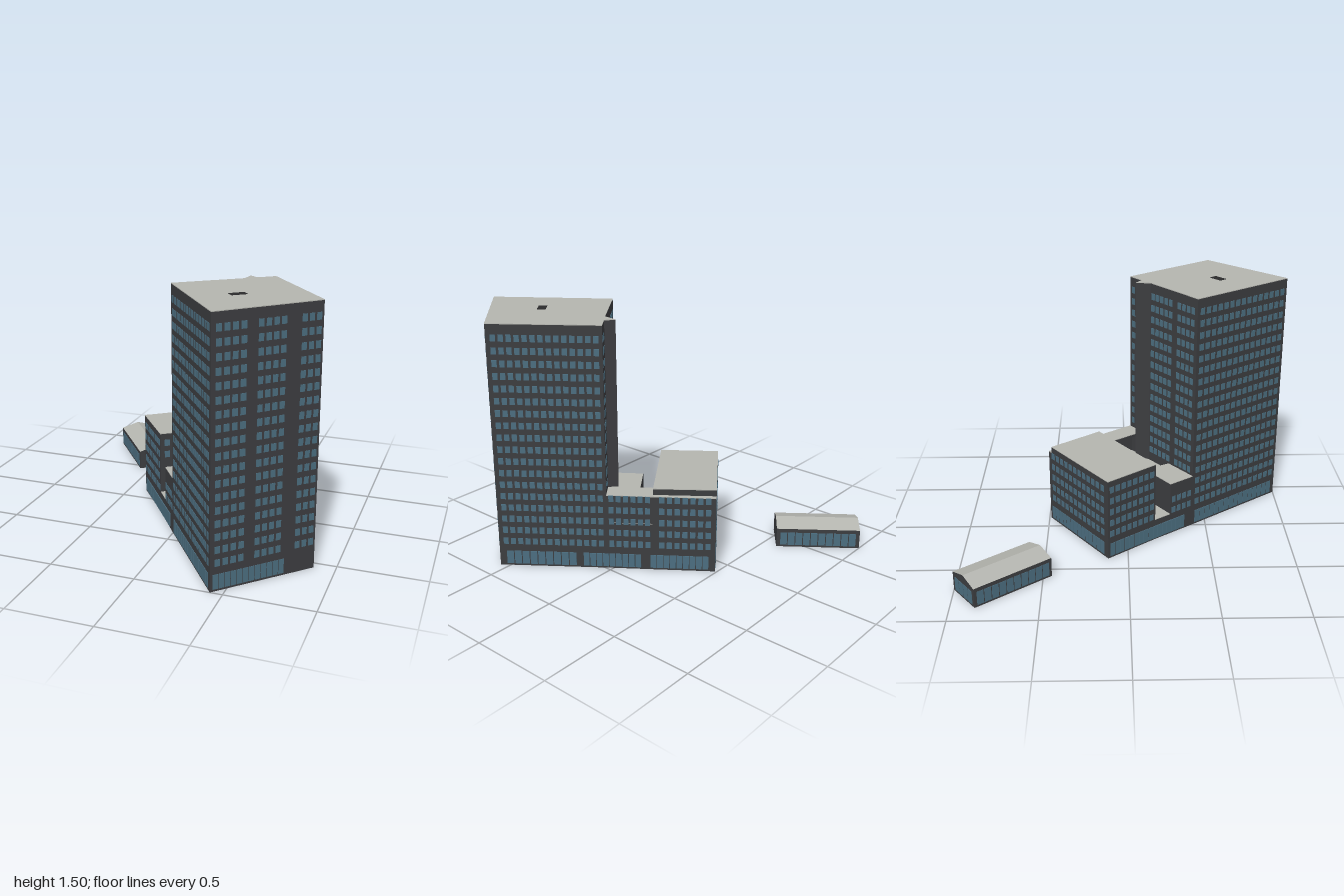
import * as THREE from 'three';
import { mergeGeometries } from 'three/addons/utils/BufferGeometryUtils.js';

const paint = (color) => new THREE.MeshStandardMaterial({ color, side: THREE.DoubleSide, flatShading: true });

// Plan points are [x, z]
const A = [-0.39, -0.12], B = [0.11, -0.49], C = [0.88, 0.55], D = [0.43, 1.0];
const W1 = [-0.17, 0.17], E1 = [0.33, -0.19]; // low block, courtyard side
const W2 = [0, 0.41], E2 = [0.49, 0.03];      // tower, courtyard side
const lerp = (p, q, t) => [p[0] + (q[0] - p[0]) * t, p[1] + (q[1] - p[1]) * t];

// Upright prism over a plan polygon
function prism(points, y0, y1) {
  const shape = new THREE.Shape(points.map(([x, z]) => new THREE.Vector2(x, -z)));
  const geo = new THREE.ExtrudeGeometry(shape, { depth: y1 - y0, bevelEnabled: false });
  return geo.rotateX(-Math.PI / 2).translate(0, y0, 0);
}

// Grid of window panes on the wall from p to q, between fractions t0 and t1
function panes(list, p, q, t0, t1, count, ys, height, fill = 0.68) {
  const length = Math.hypot(q[0] - p[0], q[1] - p[1]);
  const step = (t1 - t0) / count;
  const angle = -Math.atan2(q[1] - p[1], q[0] - p[0]);
  for (let i = 0; i < count; i++) {
    const [x, z] = lerp(p, q, t0 + step * (i + 0.5));
    for (const y of ys) {
      list.push(new THREE.BoxGeometry(step * length * fill, height, 0.005).rotateY(angle).translate(x, y, z));
    }
  }
}

export function createModel() {
  const model = new THREE.Group();
  const wall = paint(0x3c3d40), roof = paint(0xb4b5af), glass = paint(0x4c6e80), dark = paint(0x2a2a2c);

  const add = (name, geometry, material, parent = model) => {
    const mesh = new THREE.Mesh(geometry, material);
    mesh.name = name;
    parent.add(mesh);
  };
  // Walls with a thin pale roof slab on top
  const block = (name, points, height, y0 = 0) => {
    const group = new THREE.Group();
    group.name = name;
    add(name + 'Walls', prism(points, y0, height - 0.004), wall, group);
    add(name + 'Roof', prism(points, height - 0.004, height), roof, group);
    model.add(group);
  };

  // Tower with a shaft bump on its back
  block('tower', [D, C, E2, [0.40, 0.10], [0.35, 0.06], [0.34, 0.15], W2], 1.5);
  add('towerRoofVent', new THREE.BoxGeometry(0.09, 0.004, 0.05).rotateY(0.7).translate(0.43, 1.5, 0.57), dark);

  // Low rear block: raised roof with a lower ledge along the left side
  const ledgeB = lerp(B, A, 0.05), ledgeE = lerp(E1, W1, 0.04);
  block('lowBlock', [A, ledgeB, ledgeE, W1], 0.52);
  block('lowBlockLedge', [ledgeB, B, E1, ledgeE], 0.48);

  // Link between the two, around a floorless courtyard
  const innerLow = [0.05, 0.01], innerHigh = [0.18, 0.27];
  const stepOut = lerp(W1, W2, 0.4), stepIn = lerp(innerLow, innerHigh, 0.4);
  block('linkLow', [W1, innerLow, stepIn, stepOut], 0.14);
  block('linkHigh', [stepOut, stepIn, innerHigh, W2], 0.35);
  block('courtyardWall', [lerp(E1, W1, 0.03), E1, E2, lerp(E2, W2, 0.03)], 0.48);
  block('courtyardLedge', [lerp(E1, W1, 0.2), E1, E2, lerp(E2, W2, 0.2)], 0.48, 0.46);
  add('courtyardDeck', prism([innerLow, E1, E2, innerHigh], 0.3, 0.304), roof);

  // Upper windows
  const floors = Array.from({ length: 18 }, (_, i) => 0.163 + i * 0.0738);
  const lowFloors = floors.slice(0, 5);
  const upper = [];
  panes(upper, W2, D, 0.02, 0.98, 15, floors, 0.04);
  panes(upper, D, C, 0.03, 0.32, 4, floors, 0.04);
  panes(upper, D, C, 0.40, 0.67, 4, floors, 0.04);
  panes(upper, D, C, 0.79, 0.99, 3, floors, 0.04);
  panes(upper, C, E2, 0.03, 0.98, 14, floors, 0.04);
  panes(upper, W2, E2, 0.03, 0.29, 4, floors.slice(3), 0.04);
  panes(upper, W2, E2, 0.35, 0.68, 5, floors.slice(3), 0.04);
  panes(upper, W2, E2, 0.86, 0.98, 2, floors.slice(5), 0.04);
  panes(upper, E2, E1, 0.02, 0.97, 6, lowFloors, 0.04);
  panes(upper, E1, B, 0.08, 0.94, 7, lowFloors, 0.04);
  panes(upper, A, W1, 0.02, 0.98, 8, lowFloors, 0.04);
  panes(upper, A, B, 0.05, 0.96, 12, lowFloors, 0.04);
  panes(upper, W1, E1, 0.03, 0.75, 9, floors.slice(3, 5), 0.04);
  panes(upper, stepOut, W2, 0.03, 0.97, 4, floors.slice(0, 2), 0.04);
  add('upperWindows', mergeGeometries(upper), glass);

  // Tall ground floor glazing
  const ground = [];
  const shop = (p, q, t0, t1, n) => panes(ground, p, q, t0, t1, n, [0.055], 0.085, 0.88);
  for (const [t0, t1] of [[0.01, 0.43], [0.49, 0.98]]) shop(A, D, t0, t1, 16);
  shop(D, C, 0.02, 0.70, 12);
  for (const [t0, t1] of [[0.03, 0.36], [0.39, 0.66], [0.70, 0.97]]) shop(C, B, t0, t1, 9);
  shop(A, B, 0.06, 0.97, 14);

  // Small gabled shed
  const s = [[-0.88, -0.86], [-0.70, -1.0], [-0.39, -0.59], [-0.57, -0.45]];
  const eave = 0.122, ridge = 0.155;
  const r0 = lerp(s[0], s[1], 0.5), r1 = lerp(s[3], s[2], 0.5);
  const at = ([x, z], y) => [x, y, z];
  const faces = (...corners) => new THREE.BufferGeometry()
    .setAttribute('position', new THREE.Float32BufferAttribute(corners.flat(), 3));
  const slope = (p, q, r, t) => [at(p, eave), at(q, eave), at(r, ridge), at(p, eave), at(r, ridge), at(t, ridge)];
  const shedRoof = faces(...slope(s[0], s[3], r1, r0), ...slope(s[2], s[1], r0, r1));
  const gables = faces(at(s[1], eave), at(s[0], eave), at(r0, ridge), at(s[3], eave), at(s[2], eave), at(r1, ridge));
  shedRoof.computeVertexNormals();
  gables.computeVertexNormals();
  add('shedWalls', prism(s, 0, eave), wall);
  add('shedGables', gables, wall);
  add('shedRoof', shedRoof, roof);
  shop(s[0], s[3], 0.03, 0.97, 10);
  shop(s[1], s[2], 0.04, 0.96, 10);
  shop(s[0], s[1], 0.08, 0.92, 4);
  add('groundWindows', mergeGeometries(ground), glass);

  return model;
}
